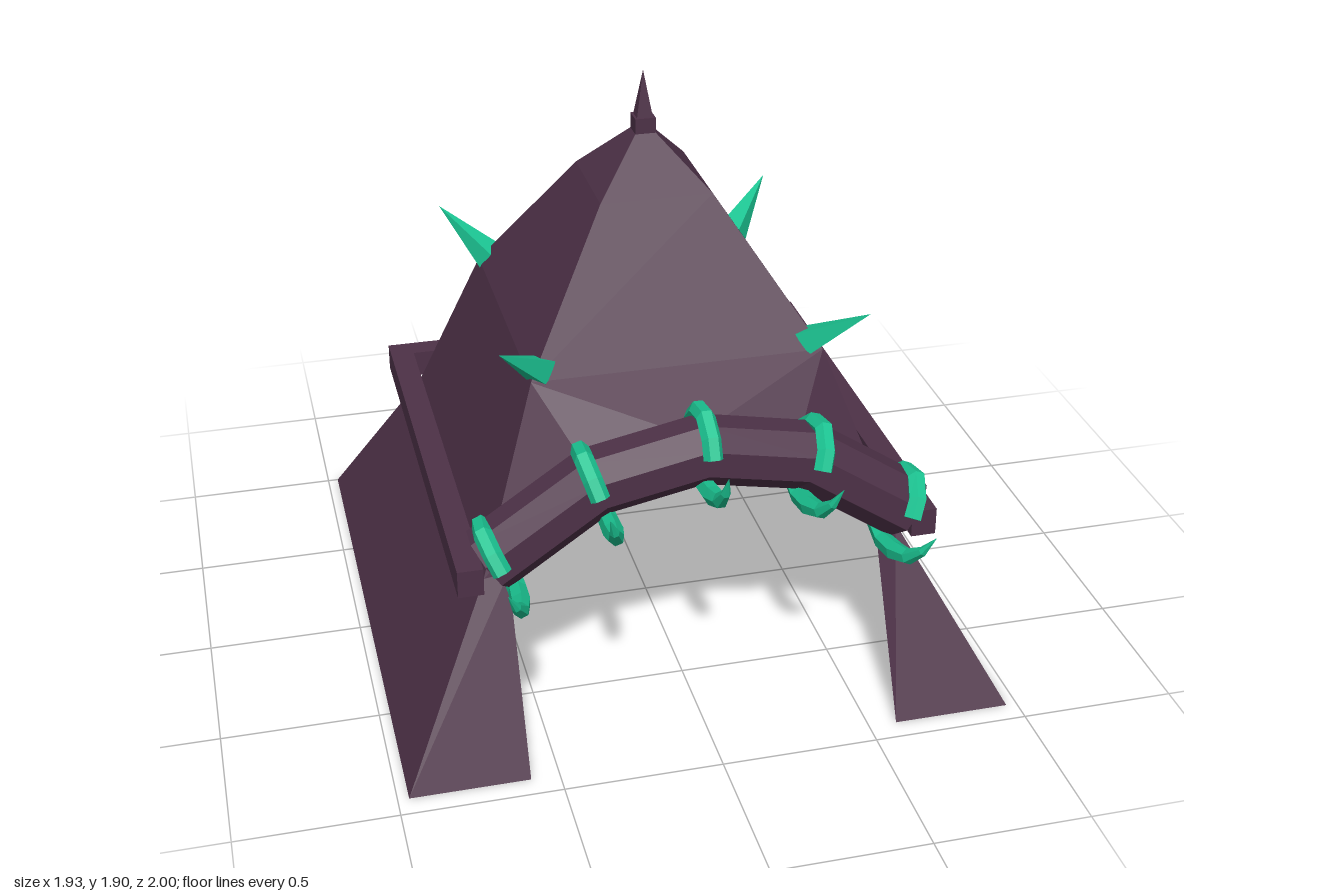
import * as THREE from 'three';

const cloth = new THREE.MeshStandardMaterial({ color: 0x4d3147, flatShading: true, side: THREE.DoubleSide });
const horn = new THREE.MeshStandardMaterial({ color: 0x1bc492, flatShading: true });
const ZC = -0.035; // centre of the tent in z

// Flat-shaded geometry from a list of polygons (corners counter-clockwise from outside)
function facets(polys) {
  const pos = [];
  for (const p of polys) {
    for (let i = 1; i < p.length - 1; i++) pos.push(...p[0], ...p[i], ...p[i + 1]);
  }
  const g = new THREE.BufferGeometry();
  g.setAttribute('position', new THREE.Float32BufferAttribute(pos, 3));
  g.computeVertexNormals();
  return g;
}

// Faceted tube along a planar path; across is the normal of the path's plane
function sweep(path, radius, sides, across) {
  const pts = path.map((p) => new THREE.Vector3(...p));
  const rings = pts.map((p, i) => {
    const t = pts[Math.min(i + 1, pts.length - 1)].clone().sub(pts[Math.max(i - 1, 0)]).normalize();
    const n = across.clone().cross(t);
    return Array.from({ length: sides }, (_, j) => {
      const a = ((j + 0.5) / sides) * Math.PI * 2;
      return p.clone().addScaledVector(n, radius(i) * Math.cos(a))
        .addScaledVector(across, radius(i) * Math.sin(a)).toArray();
    });
  });
  const polys = [rings[0].slice().reverse(), rings[rings.length - 1]];
  for (let i = 0; i < rings.length - 1; i++) {
    for (let j = 0; j < sides; j++) {
      const k = (j + 1) % sides;
      polys.push([rings[i][j], rings[i][k], rings[i + 1][k], rings[i + 1][j]]);
    }
  }
  return facets(polys);
}

export function createModel() {
  const model = new THREE.Group();
  const add = (name, geometry, material, parent = model) => {
    const m = new THREE.Mesh(geometry, material);
    m.name = name;
    parent.add(m);
    return m;
  };

  // Tent walls: square levels as [height, half width]
  const levels = [[0, 0.965], [0.55, 0.665], [1.1, 0.465], [1.54, 0.18], [1.7, 0.033]];
  const corners = [[1, 1], [1, -1], [-1, -1], [-1, 1]];
  const at = (l, c) => {
    const [y, h] = levels[l];
    return [corners[c % 4][0] * h, y, ZC + corners[c % 4][1] * h];
  };
  const walls = [];
  for (let c = 0; c < 4; c++) {
    // the front (c = 3) is open below the second level
    for (let l = c === 3 ? 2 : 0; l < levels.length - 1; l++) {
      walls.push([at(l, c), at(l, c + 1), at(l + 1, c + 1), at(l + 1, c)]);
    }
  }
  add('tentWalls', facets(walls), cloth);

  // Front legs and canopy around the arched doorway
  const crown = [0, 0.95, 0.62];
  const front = [[at(2, 3), crown, at(2, 0)]];
  const half = [
    [[0.59, 0, 0.93], at(0, 0), at(1, 0), [0.59, 0.57, 0.645]],
    [[0.59, 0.57, 0.645], at(1, 0), [0.33, 0.88, 0.62]],
    [[0.33, 0.88, 0.62], at(1, 0), at(2, 0)],
    [crown, [0.33, 0.88, 0.62], at(2, 0)],
  ];
  for (const p of half) {
    front.push(p, p.map(([x, y, z]) => [-x, y, z]).reverse());
  }
  add('doorwayWall', facets(front), cloth);

  // Rail around the back and sides
  const u = new THREE.Shape([
    [-0.76, -0.73], [-0.68, -0.73], [-0.68, 0.72], [0.68, 0.72],
    [0.68, -0.73], [0.76, -0.73], [0.76, 0.8], [-0.76, 0.8],
  ].map((p) => new THREE.Vector2(...p)));
  const rail = new THREE.ExtrudeGeometry(u, { depth: 0.09, bevelEnabled: false });
  rail.rotateX(-Math.PI / 2).translate(0, 0.56, 0);
  add('rail', rail, cloth);

  // Finial
  add('finialBlock', new THREE.BoxGeometry(0.066, 0.06, 0.066), cloth).position.set(0, 1.72, ZC);
  const tip = new THREE.ConeGeometry(0.036, 0.15, 4).rotateY(Math.PI / 4);
  add('finialTip', tip, cloth).position.set(0, 1.825, ZC);

  // Beam over the doorway
  const beam = [[-0.66, 0.665], [-0.33, 0.89], [0, 0.955], [0.33, 0.89], [0.66, 0.665]];
  add('archBeam', sweep(beam.map(([x, y]) => [x, y, 0.7]), () => 0.108, 8,
    new THREE.Vector3(0, 0, 1)), cloth);

  // Claws wrapping the beam, as [z, y] around its centre
  const hook = [
    [0.12, 0.02], [0.095, 0.075], [0.03, 0.115], [-0.05, 0.1], [-0.11, 0.045], [-0.115, -0.04],
    [-0.06, -0.1], [0.03, -0.115], [0.12, -0.1], [0.2, -0.07], [0.255, -0.015], [0.285, 0.05],
  ];
  const clawGeo = sweep(hook.map(([z, y]) => [0, y, z]),
    (i) => (i < 8 ? 0.03 : [0.032, 0.025, 0.015, 0.001][i - 8]), 6, new THREE.Vector3(1, 0, 0));
  const claws = [[-0.63, 0.675, 25], [-0.335, 0.885, 18], [0, 0.97, 0], [0.335, 0.885, -18], [0.63, 0.675, -25]];
  for (const [x, y, tilt] of claws) {
    const claw = add('claw', clawGeo, horn);
    claw.position.set(x, y, 0.712);
    claw.rotation.z = THREE.MathUtils.degToRad(tilt);
  }

  // Spikes on the four ridges
  const up = new THREE.Vector3(0, 1, 0);
  for (const [sx, sz] of corners) {
    const base = new THREE.Vector3(sx * 0.425, 1.115, ZC + sz * 0.425);
    const end = new THREE.Vector3(sx * 0.578, 1.26, ZC + sz * 0.572);
    const dir = end.clone().sub(base);
    const spike = add('ridgeSpike', new THREE.ConeGeometry(0.055, dir.length(), 4), horn);
    spike.position.copy(base).add(end).multiplyScalar(0.5);
    spike.quaternion.setFromUnitVectors(up, dir.normalize());
  }
  return model;
}
